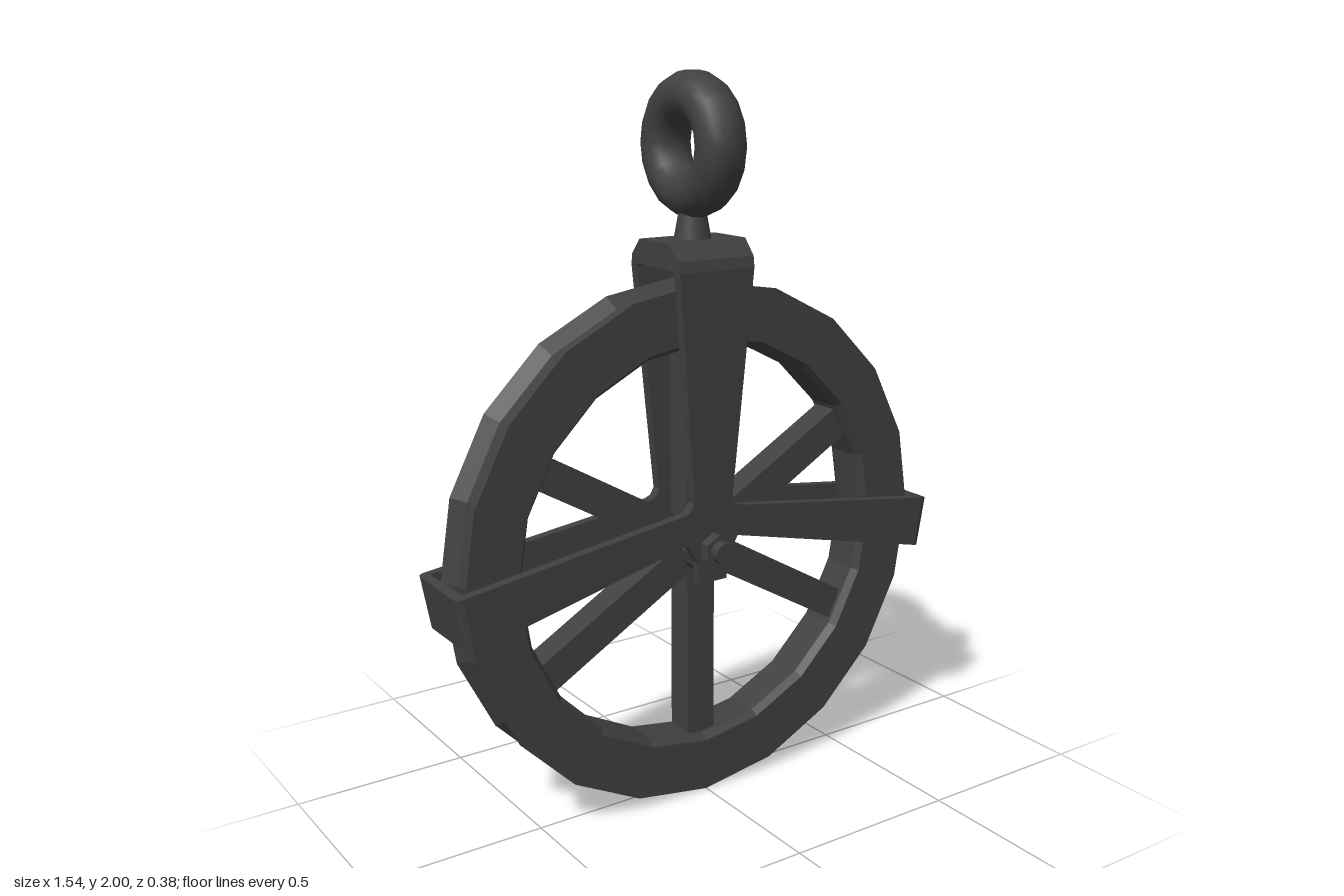
import * as THREE from 'three';

const HUB_Y = 0.73;

export function createModel() {
  const model = new THREE.Group();
  const flat = new THREE.MeshStandardMaterial({ color: 0x404040, flatShading: true });
  const smooth = new THREE.MeshStandardMaterial({ color: 0x404040 });

  const add = (name, geometry, y = HUB_Y, z = 0, material = flat) => {
    const mesh = new THREE.Mesh(geometry, material);
    mesh.name = name;
    mesh.position.set(0, y, z);
    model.add(mesh);
    return mesh;
  };

  // Grooved rim, 20 sides
  const rimProfile = [
    [0.73, -0.07], [0.697, -0.035], [0.697, 0.035], [0.73, 0.07],
    [0.58, 0.07], [0.565, 0.05], [0.565, -0.05], [0.58, -0.07], [0.73, -0.07],
  ].map(([r, h]) => new THREE.Vector2(r, h));
  add('wheelRim', new THREE.LatheGeometry(rimProfile, 20).rotateX(Math.PI / 2));

  // Six spokes and the wheel hub
  for (let i = 0; i < 6; i++) {
    const spoke = new THREE.BoxGeometry(0.09, 0.58, 0.08).translate(0, 0.29, 0);
    add('spoke', spoke.rotateZ((i * Math.PI) / 3));
  }
  add('wheelHub', new THREE.CylinderGeometry(0.07, 0.07, 0.15, 12).rotateX(Math.PI / 2));

  // Strap running out along the front, round the end and back along the rear.
  // Each station: outer [u, z], inner [u, z], half width
  const strap = (half) => {
    const back = half.map(([uo, zo, ui, zi, w]) => [uo, -zo, ui, -zi, w]).reverse();
    const stations = [...half, ...back];
    const pos = [];
    const index = [];
    stations.forEach(([uo, zo, ui, zi, w]) => {
      pos.push(-w, uo, zo, w, uo, zo, w, ui, zi, -w, ui, zi);
    });
    for (let s = 0; s < stations.length - 1; s++) {
      for (let k = 0; k < 4; k++) {
        const a = s * 4 + k;
        const b = s * 4 + ((k + 1) % 4);
        index.push(a, b, b + 4, a, b + 4, a + 4);
      }
    }
    const e = pos.length / 3 - 4;
    index.push(0, 2, 1, 0, 3, 2, e, e + 1, e + 2, e, e + 2, e + 3);
    const geometry = new THREE.BufferGeometry();
    geometry.setAttribute('position', new THREE.Float32BufferAttribute(pos, 3));
    geometry.setIndex(index);
    geometry.computeVertexNormals();
    return geometry;
  };

  // Upper fork that carries the eye
  add('topFork', strap([
    [0.06, 0.1, 0.06, 0.072, 0.055],
    [0.765, 0.117, 0.762, 0.088, 0.117],
    [0.795, 0.11, 0.768, 0.084, 0.119],
    [0.838, 0.068, 0.77, 0.06, 0.122],
  ]));

  // Side guards, sloping slightly down
  for (const side of [-1, 1]) {
    const guard = strap([
      [0.07, 0.1, 0.07, 0.072, 0.042],
      [0.755, 0.117, 0.742, 0.09, 0.0735],
      [0.767, 0.112, 0.745, 0.088, 0.0735],
      [0.771, 0.1, 0.746, 0.084, 0.0735],
    ]);
    add('sideGuard', guard.rotateZ(-side * (Math.PI / 2 + 0.18)), 0.816);
  }

  // Hub plates joining the three arms, front and back
  const outline = [[0.045, 0.64], [0.05, 0.7], [0.085, 0.762], [0.1, 0.84], [0.075, 0.85], [0.058, 0.88]];
  const mirrored = outline.map(([x, y]) => [-x, y]).reverse();
  const plateShape = new THREE.Shape([...outline, ...mirrored].map(([x, y]) => new THREE.Vector2(x, y)));
  for (const z of [0.072, -0.1]) {
    add('hubPlate', new THREE.ExtrudeGeometry(plateShape, { depth: 0.028, bevelEnabled: false }), 0, z);
  }

  // Axle bolt: threaded end and nut in front, larger head behind
  const disc = (r, length, sides) =>
    new THREE.CylinderGeometry(r, r, length, sides).rotateX(Math.PI / 2);
  add('axleBolt', disc(0.03, 0.26, 12), HUB_Y + 0.005, 0.03);
  add('axleNut', disc(0.045, 0.035, 6), HUB_Y + 0.005, 0.113);
  add('boltHead', disc(0.062, 0.04, 6), HUB_Y + 0.005, -0.112);

  // Neck and lifting eye
  add('eyeNeck', new THREE.CylinderGeometry(0.035, 0.052, 0.09, 16), 1.605, 0, smooth);
  const eye = new THREE.TorusGeometry(0.127, 0.063, 16, 18).rotateY(Math.PI / 2).scale(1.1, 1, 1);
  add('liftingEye', eye, 1.81, 0, smooth);

  return model;
}
